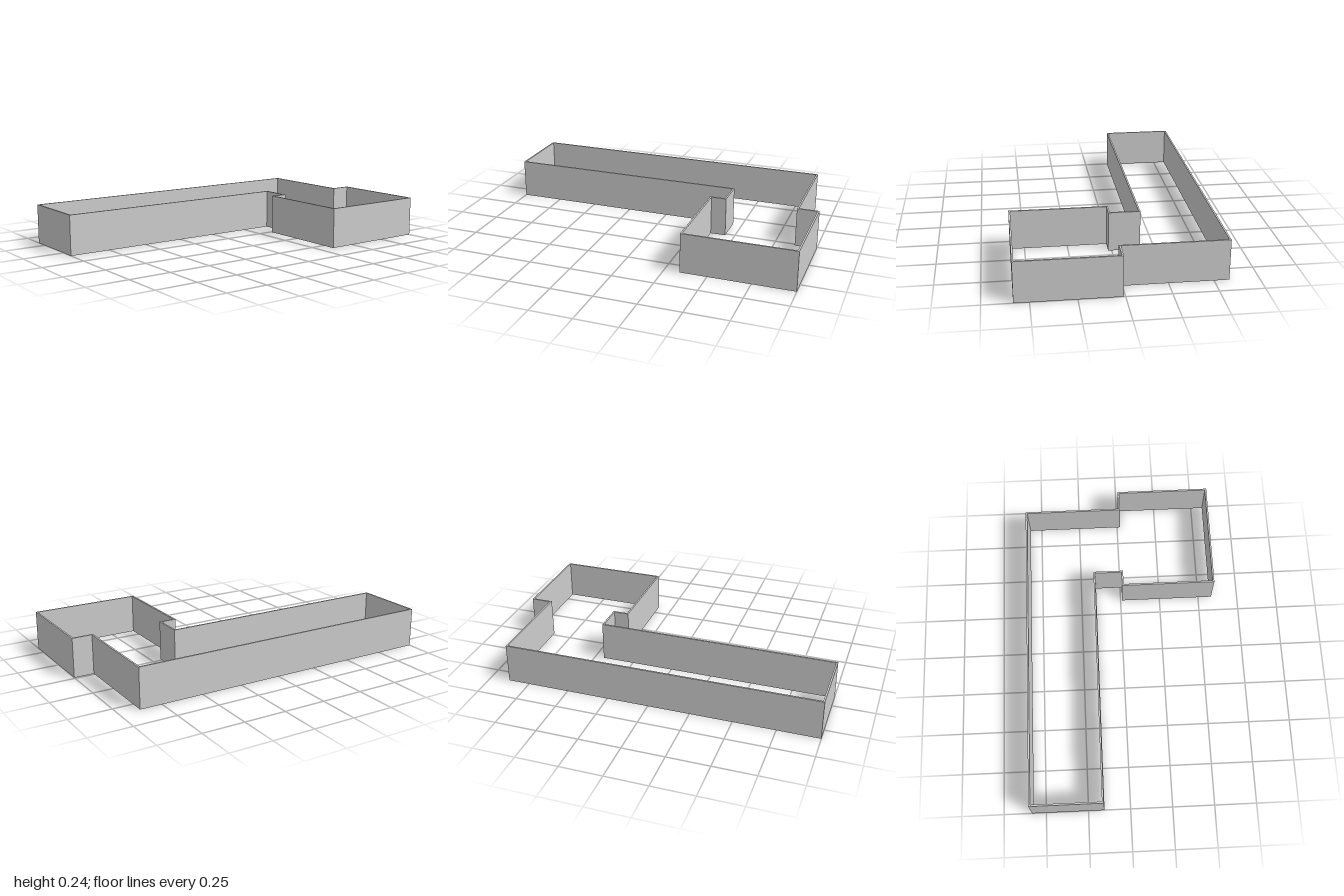
import * as THREE from 'three';

const HEIGHT = 0.237;
const THICKNESS = 0.01;

// Outer floor-plan corners, anticlockwise from above: x, z, then the inward direction along x and z
const CORNERS = [
  [-1, -0.155, 1, -1],
  [0.433, -0.155, 1, -1],
  [0.433, 0.01, 1, 1],
  [0.342, 0.01, 1, 1],
  [0.342, 0.584, 1, -1],
  [1, 0.584, -1, -1],
  [1, 0.01, -1, 1],
  [0.88, 0.01, -1, 1],
  [0.88, -0.584, -1, 1],
  [-1, -0.584, 1, 1],
];

// Plan outline moved inward by a distance (shape y is -z)
function outline(inset) {
  return CORNERS.map(([x, z, dx, dz]) => new THREE.Vector2(x + dx * inset, -(z + dz * inset)));
}

export function createModel() {
  const group = new THREE.Group();
  group.name = 'roomWalls';

  // Continuous thin wall, open above and below
  const plan = new THREE.Shape(outline(0));
  plan.holes.push(new THREE.Path(outline(THICKNESS)));
  const geometry = new THREE.ExtrudeGeometry(plan, { depth: HEIGHT, bevelEnabled: false });
  geometry.rotateX(-Math.PI / 2);

  const walls = new THREE.Mesh(geometry, new THREE.MeshStandardMaterial({ color: 0xcccccc, flatShading: true }));
  walls.name = 'perimeterWall';
  group.add(walls);
  return group;
}
